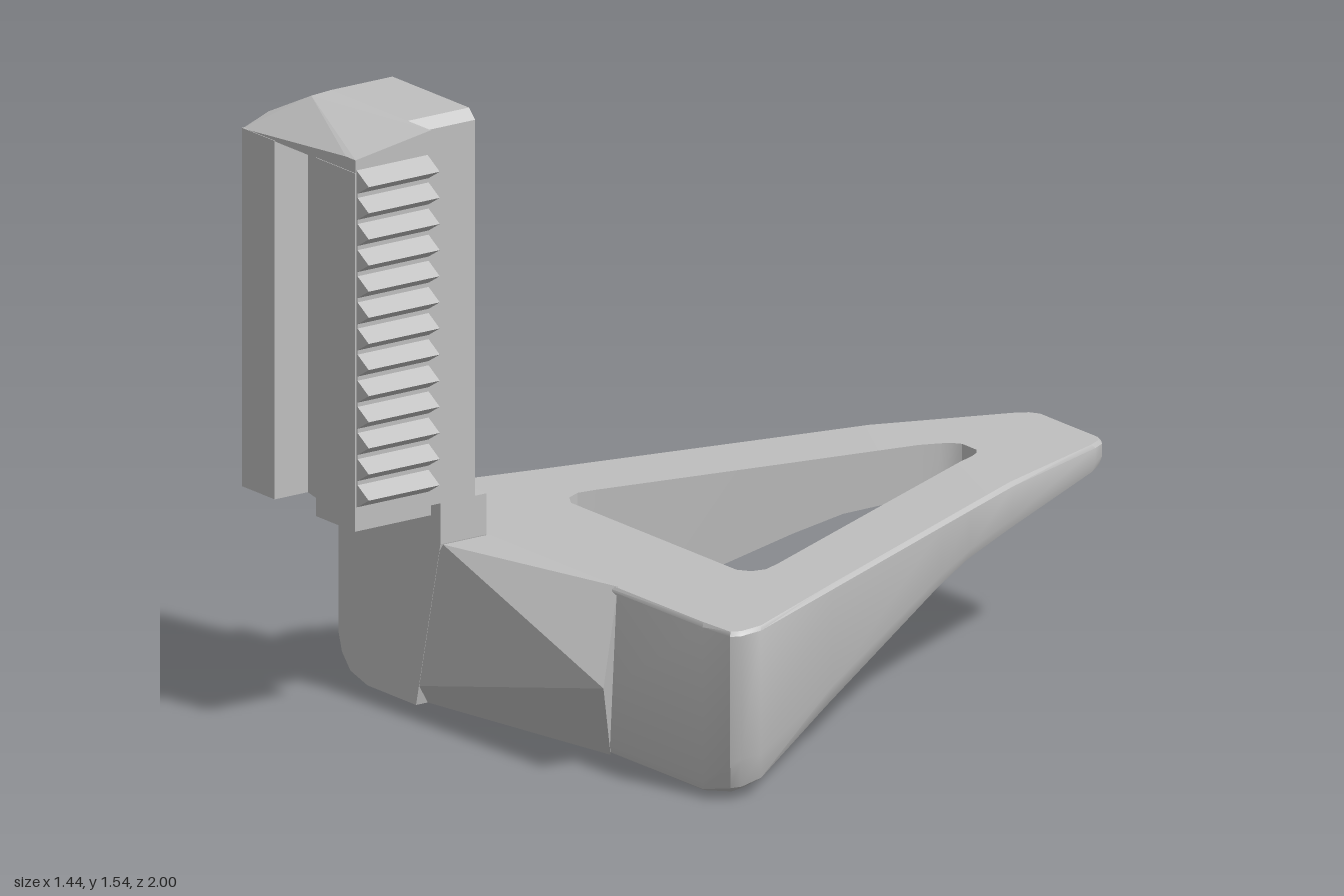
import * as THREE from 'three';
import { toCreasedNormals } from 'three/addons/utils/BufferGeometryUtils.js';
import { ConvexGeometry } from 'three/addons/geometries/ConvexGeometry.js';

// piecewise-linear lookup through [z, y] pairs in rising z
function ramp(points, z) {
  if (z <= points[0][0]) return points[0][1];
  for (let i = 1; i < points.length; i++) {
    const [z0, y0] = points[i - 1], [z1, y1] = points[i];
    if (z <= z1) return y0 + (y1 - y0) * (z - z0) / (z1 - z0);
  }
  return points[points.length - 1][1];
}
const topY = z => ramp([[-0.6, 0.505], [0.56, 0.435]], z);
const bottomY = z => ramp([[-1, 0.435], [-0.42, 0.345], [-0.3, 0.305], [0.48, 0]], z);

// triangular ring: sections lofted round a closed loop
function frameGeometry() {
  // outer x, outer z, inner x, inner z, bottom edge radius
  const half = [
    [0, -1, 0, -0.69, 0.03],
    [0.12, -1, 0.03, -0.69, 0.03],
    [0.145, -0.985, 0.05, -0.675, 0.03],
    [0.165, -0.95, 0.065, -0.65, 0.03],
    [0.3, -0.6, 0.085, -0.6, 0.04],
    [0.37, -0.42, 0.153, -0.42, 0.04],
    [0.417, -0.3, 0.198, -0.3, 0.05],
    [0.6, 0.165, 0.375, 0.165, 0.08],
    [0.72, 0.47, 0.388, 0.21, 0.11],
    [0.72, 0.53, 0.375, 0.245, 0.11],
    [0.705, 0.552, 0.34, 0.265, 0.1],
    [0.6, 0.558, 0.3, 0.265, 0.03],
    [0, 0.565, 0, 0.265, 0.03],
  ];
  const mirrored = half.slice(1, -1).reverse().map(([a, b, c, d, r]) => [-a, b, -c, d, r]);
  const rings = [...half, ...mirrored].map(([ox, oz, ix, iz, r]) => {
    const length = Math.hypot(ix - ox, iz - oz);
    const at = (inset, lift) => {
      const x = ox + (ix - ox) * inset / length, z = oz + (iz - oz) * inset / length;
      return [x, lift === null ? topY(z) : bottomY(z) + lift, z];
    };
    const outerTop = at(0, null);
    outerTop[1] -= 0.01;
    return [at(0.01, null), outerTop, at(0, r), at(r * 0.3, r * 0.3), at(r, 0), at(length, 0), at(length, null)];
  });
  const positions = [];
  rings.forEach((ring, i) => {
    const next = rings[(i + 1) % rings.length];
    ring.forEach((a, j) => {
      const k = (j + 1) % ring.length;
      positions.push(...a, ...next[j], ...next[k], ...a, ...next[k], ...ring[k]);
    });
  });
  const geometry = new THREE.BufferGeometry();
  geometry.setAttribute('position', new THREE.Float32BufferAttribute(positions, 3));
  return toCreasedNormals(geometry, 0.6);
}

// x-y outline extruded from z0 to z1
function plate(points, z0, z1) {
  const shape = new THREE.Shape(points.map(p => new THREE.Vector2(...p)));
  return new THREE.ExtrudeGeometry(shape, { depth: z1 - z0, bevelEnabled: false }).translate(0, 0, z0);
}

const hull = points => new ConvexGeometry(points.map(p => new THREE.Vector3(...p)));

export function createModel() {
  const model = new THREE.Group();
  const grey = new THREE.MeshStandardMaterial({ color: 0xbfbfbf });
  grey.name = 'light grey';
  const add = (name, geometry) => {
    const mesh = new THREE.Mesh(geometry, grey);
    mesh.name = name;
    model.add(mesh);
  };

  add('triangularFrame', frameGeometry());

  // mounting plate joining frame and post
  add('mountingPlate', plate([
    [-0.72, 0.54], [-0.72, 0.11], [-0.705, 0.06], [-0.67, 0.02], [-0.6, 0],
    [-0.4, 0], [-0.3, 0.435], [-0.3, 0.54],
  ], 0.55, 0.69));

  // faceted wedge across the front
  add('frontWedge', hull([
    [-0.29, 0.437, 0.689], [-0.6, 0, 0.689], [0.37, 0.235, 0.689],
    [0.24, 0.437, 0.55], [0.21, 0, 0.55], [-0.29, 0.437, 0.55], [-0.6, 0, 0.55],
  ]));

  // upright post with chamfered outer corner
  add('post', plate([
    [-0.72, 0.54], [-0.3, 0.54], [-0.3, 1.5], [-0.325, 1.525],
    [-0.64, 1.525], [-0.69, 1.49], [-0.72, 1.43],
  ], 0.585, 0.78));

  // grip block with a vertical slot, drawn in plan and raised
  const plan = new THREE.Shape([
    [-0.72, 0.77], [-0.23, 0.77], [-0.23, 1], [-0.39, 1], [-0.39, 0.94],
    [-0.56, 0.9], [-0.56, 1], [-0.695, 1],
  ].map(([x, z]) => new THREE.Vector2(x, -z)));
  const grip = new THREE.ExtrudeGeometry(plan, { depth: 0.915, bevelEnabled: false });
  add('slottedGrip', grip.rotateX(-Math.PI / 2).translate(0, 0.542, 0));

  // faceted cap above the grip
  add('gripCap', hull([
    [-0.72, 1.43, 0.77], [-0.69, 1.49, 0.77], [-0.64, 1.525, 0.77], [-0.23, 1.525, 0.77],
    [-0.23, 1.455, 0.77], [-0.6, 1.537, 0.86], [-0.23, 1.49, 0.998], [-0.27, 1.49, 0.998],
    [-0.23, 1.455, 0.998], [-0.56, 1.455, 0.96], [-0.695, 1.455, 0.998], [-0.68, 1.49, 0.93],
  ]));

  // row of teeth on the inner side of the grip
  const saw = [[-0.24, 1.47], [-0.24, 0.6]];
  for (let i = 0; i < 13; i++) {
    const y = 0.633 + i * 0.0667;
    saw.push([-0.226, y - 0.028], [-0.18, y], [-0.226, y + 0.028]);
  }
  add('teeth', plate(saw, 0.78, 0.995));

  return model;
}
